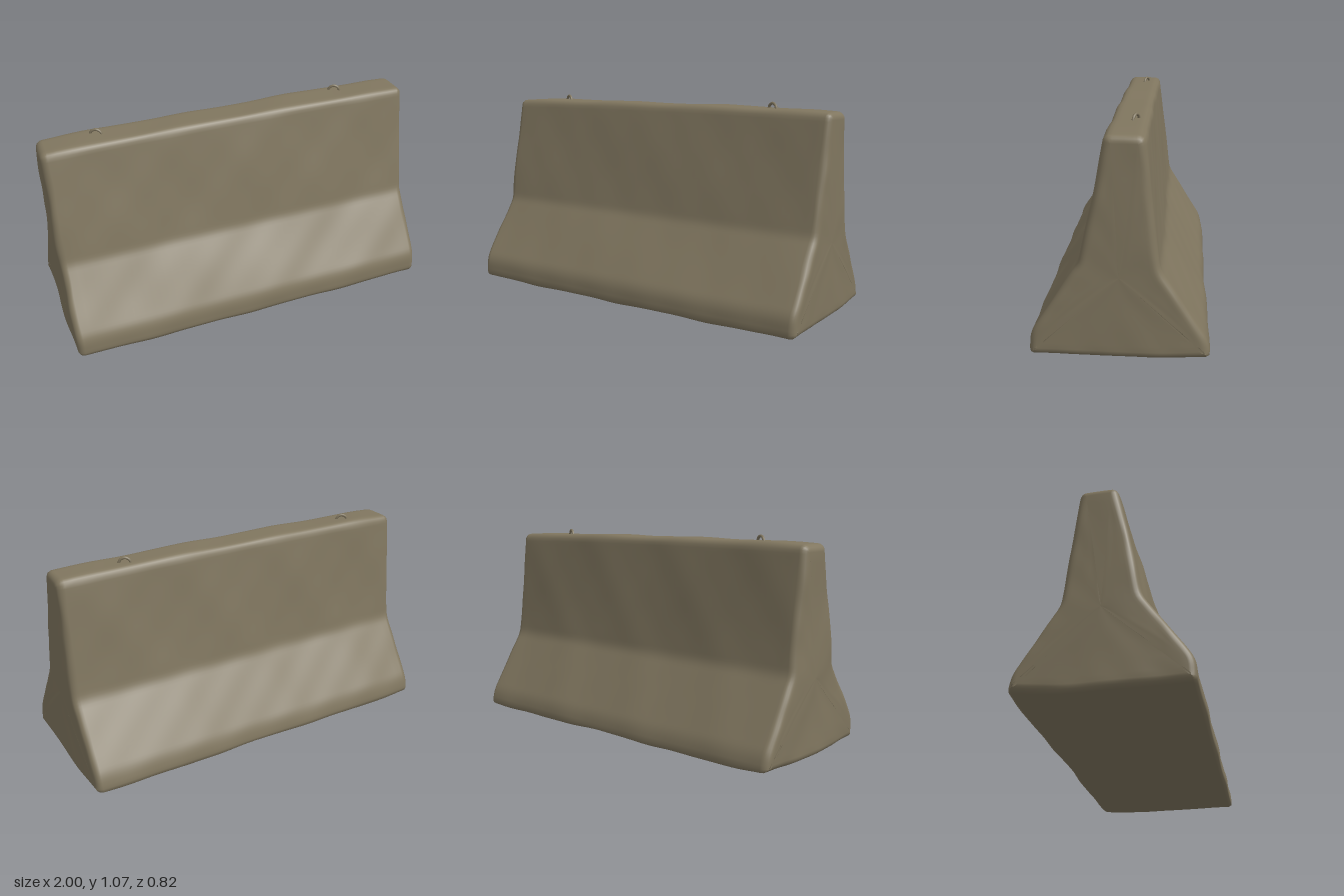
import * as THREE from 'three';

const concrete = new THREE.MeshStandardMaterial({ color: 0x80765f });
concrete.name = 'weathered concrete';

// Barrier profile as [z, y, corner radius], counter-clockwise seen from +x
const PROFILE = [
  [0.41, 0.022, 0.025], [-0.12, 0.01, 0.1], [-0.41, 0.024, 0.025], [-0.395, 0.105, 0.04],
  [-0.187, 0.435, 0.03], [-0.165, 0.6, 0.08], [-0.116, 1.035, 0.035],
  [0.062, 1.035, 0.03], [0.182, 0.455, 0.025], [0.404, 0.125, 0.04],
];

// Outline with softened corners, sampled evenly
function outline(count) {
  const path = new THREE.Path();
  const pts = PROFILE.map(([z, y]) => new THREE.Vector2(z, y));
  pts.forEach((p, i) => {
    const r = PROFILE[i][2];
    const toward = (q) => p.clone().add(q.clone().sub(p).setLength(r));
    const a = toward(pts[(i + pts.length - 1) % pts.length]);
    const b = toward(pts[(i + 1) % pts.length]);
    if (i === 0) path.moveTo(a.x, a.y);
    else path.lineTo(a.x, a.y);
    path.quadraticCurveTo(p.x, p.y, b.x, b.y);
  });
  path.closePath();
  return path.getSpacedPoints(count).slice(0, count);
}

// Gentle worn unevenness
function wear(x, y, z) {
  return 0.0035 * Math.sin(5.1 * x + 3.7 * y + 1.3) * Math.cos(4.3 * y - 6.1 * z + 0.6)
    + 0.0025 * Math.sin(11.3 * x - 7.9 * y + 5.2 * z)
    + 0.0012 * Math.sin(23 * x + 17 * z + 2.1) * Math.cos(19 * y + 0.4);
}

function barrierGeometry() {
  const n = 180;
  const ring = outline(n);

  // Stations along the length: x, edge inset, scale toward the middle of the end
  const R = 0.035, L = 0.994;
  const end = [0.001, 0.25, 0.5, 0.75, 0.92].map((s) => [L, R, s]);
  for (let k = 0; k <= 5; k++) {
    const a = (k / 5) * Math.PI / 2;
    end.push([L - R + R * Math.cos(a), R * (1 - Math.sin(a)), 1]);
  }
  const stations = end.map(([x, i, s]) => [-x, i, s]);
  for (let k = 1; k < 48; k++) stations.push([(L - R) * (k / 24 - 1), 0, 1]);
  stations.push(...end.slice().reverse());

  const pos = [], index = [];
  for (const [x, inset, s] of stations) {
    ring.forEach((p, j) => {
      const t = ring[(j + 1) % n].clone().sub(ring[(j + n - 1) % n]).normalize();
      const nz = t.y, ny = -t.x; // sideways from the outline, sign fixed below
      const w = wear(x, p.y, p.x) - inset;
      let z = p.x - nz * w;
      let y = p.y - ny * w;
      z *= s;
      y = 0.4 + (y - 0.4) * s;
      y += 0.011 * (1 - x * x) * (y > 0.4 ? (y - 0.4) / 0.64 : (y - 0.4) / 0.8);
      const endWear = Math.abs(x) > 0.9 ? wear(3 * x, 1.5 * y, 2 * z) : 0;
      pos.push(x + endWear, y, z);
    });
  }
  for (let i = 0; i < stations.length - 1; i++) {
    for (let j = 0; j < n; j++) {
      const a = i * n + j, b = i * n + (j + 1) % n;
      index.push(a, b, a + n, b, b + n, a + n);
    }
  }
  const g = new THREE.BufferGeometry();
  g.setAttribute('position', new THREE.Float32BufferAttribute(pos, 3));
  g.setIndex(index);
  g.computeVertexNormals();
  return g;
}

// Lifting eye bent from a thin bar, its feet set into the top
function liftingLoop(name, x, z) {
  const pts = [[-0.031, -0.04], [-0.031, 0.004], [-0.021, 0.026], [0, 0.035],
    [0.021, 0.026], [0.031, 0.004], [0.031, -0.04]];
  const curve = new THREE.CatmullRomCurve3(pts.map(([u, v]) => new THREE.Vector3(u, v, 0)));
  const loop = new THREE.Mesh(new THREE.TubeGeometry(curve, 24, 0.007, 8), concrete);
  loop.name = name;
  loop.position.set(x, 1.03, z);
  loop.rotation.y = -0.45;
  return loop;
}

export function createModel() {
  const model = new THREE.Group();
  model.name = 'concreteBarrier';
  const body = new THREE.Mesh(barrierGeometry(), concrete);
  body.name = 'barrierBody';
  model.add(body, liftingLoop('rightLiftingLoop', -0.7, -0.045), liftingLoop('leftLiftingLoop', 0.63, -0.055));
  return model;
}
